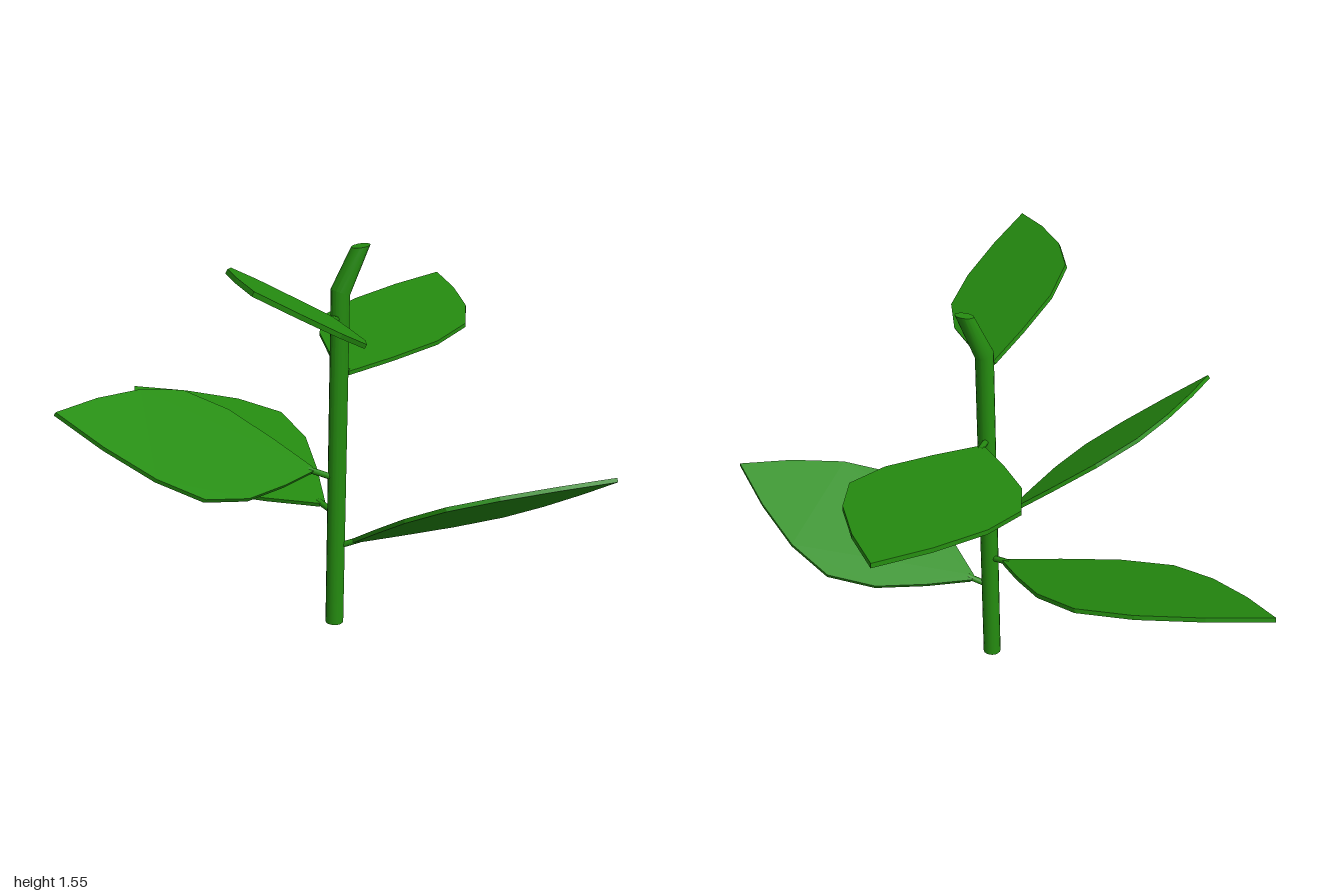
import * as THREE from 'three';
import { toCreasedNormals } from 'three/addons/utils/BufferGeometryUtils.js';

const V = (a) => new THREE.Vector3(...a);

// Half outline of a leaf of length 1: [distance along, half width]
const OUTLINE = [[0, 0.012], [0.145, 0.117], [0.31, 0.22], [0.487, 0.267], [0.662, 0.217], [0.84, 0.117]];
const THICKNESS = 0.016;

// Per leaf: stalk start on the stem, leaf base, leaf tip, direction the upper face looks
const LEAVES = [
  { name: 'frontLeftLeaf', root: [0.13, 0.32, 0.145], base: [0.19, 0.35, 0.18], tip: [0.93, 0.745, 0.81], up: [0, 1, -0.61] },
  { name: 'backRightLeaf', root: [0.13, 0.455, 0.145], base: [0.1, 0.47, 0.06], tip: [-0.42, 0.68, -1.0], up: [-0.1, 1, 0.25] },
  { name: 'rightLeaf', root: [0.13, 0.6, 0.145], base: [0.03, 0.645, 0.14], tip: [-0.93, 0.995, 0.24], up: [0.42, 1, 0.55] },
  { name: 'backLeftLeaf', root: [0.13, 0.975, 0.145], base: [0.19, 0.99, 0.06], tip: [0.93, 1.15, -0.79], up: [-0.12, 1, 0.085] },
  { name: 'frontRightLeaf', root: [0.13, 1.22, 0.145], base: [0.07, 1.25, 0.22], tip: [-0.44, 1.545, 1.0], up: [0.58, 1, 0] },
];

// Flat blade from base to tip, turned so that its upper face looks along up
function bladeGeometry(base, tip, up) {
  const axis = tip.clone().sub(base);
  const length = axis.length();
  axis.normalize();
  const normal = up.clone().addScaledVector(axis, -up.dot(axis)).normalize();
  const side = axis.clone().cross(normal);

  const right = OUTLINE.map(([t, w]) => new THREE.Vector2(w * length, t * length));
  const left = OUTLINE.map(([t, w]) => new THREE.Vector2(-w * length, t * length)).reverse();
  const shape = new THREE.Shape([...right, new THREE.Vector2(0, length), ...left]);

  const geometry = new THREE.ExtrudeGeometry(shape, { depth: THICKNESS, bevelEnabled: false });
  geometry.translate(0, 0, -THICKNESS / 2);
  geometry.applyMatrix4(new THREE.Matrix4().makeBasis(side, axis, normal).setPosition(base));
  return geometry;
}

// Upright stem with a leaning tip: a cylinder whose three rings are moved and tilted
function stemGeometry() {
  const radius = 0.035;
  const rings = [
    { x: 0.125, y: 0, tilt: 0 },
    { x: 0.134, y: 1.325, tilt: -0.36 },
    { x: 0.21, y: 1.49, tilt: 0.15 },
  ];
  const geometry = new THREE.CylinderGeometry(radius, radius, 1, 16, 2);
  const p = geometry.attributes.position;
  for (let i = 0; i < p.count; i++) {
    const ring = rings[Math.round((p.getY(i) + 0.5) * 2)];
    p.setXYZ(i, ring.x + p.getX(i), ring.y + p.getX(i) * ring.tilt, 0.145 + p.getZ(i));
  }
  return toCreasedNormals(geometry, 0.42);
}

export function createModel() {
  const model = new THREE.Group();
  model.name = 'plant';
  const green = new THREE.MeshStandardMaterial({ color: 0x258c10 });
  green.name = 'leafGreen';

  const add = (parent, name, geometry) => {
    const mesh = new THREE.Mesh(geometry, green);
    mesh.name = name;
    parent.add(mesh);
  };

  add(model, 'stem', stemGeometry());

  // Leaves, each with a short stalk
  for (const { name, root, base, tip, up } of LEAVES) {
    const leaf = new THREE.Group();
    leaf.name = name;
    const start = V(root), end = V(base), point = V(tip);
    const inner = end.clone().lerp(point, 0.02);
    add(leaf, 'stalk', new THREE.TubeGeometry(new THREE.LineCurve3(start, inner), 1, 0.012, 8));
    add(leaf, 'blade', bladeGeometry(end, point, V(up)));
    model.add(leaf);
  }
  return model;
}
